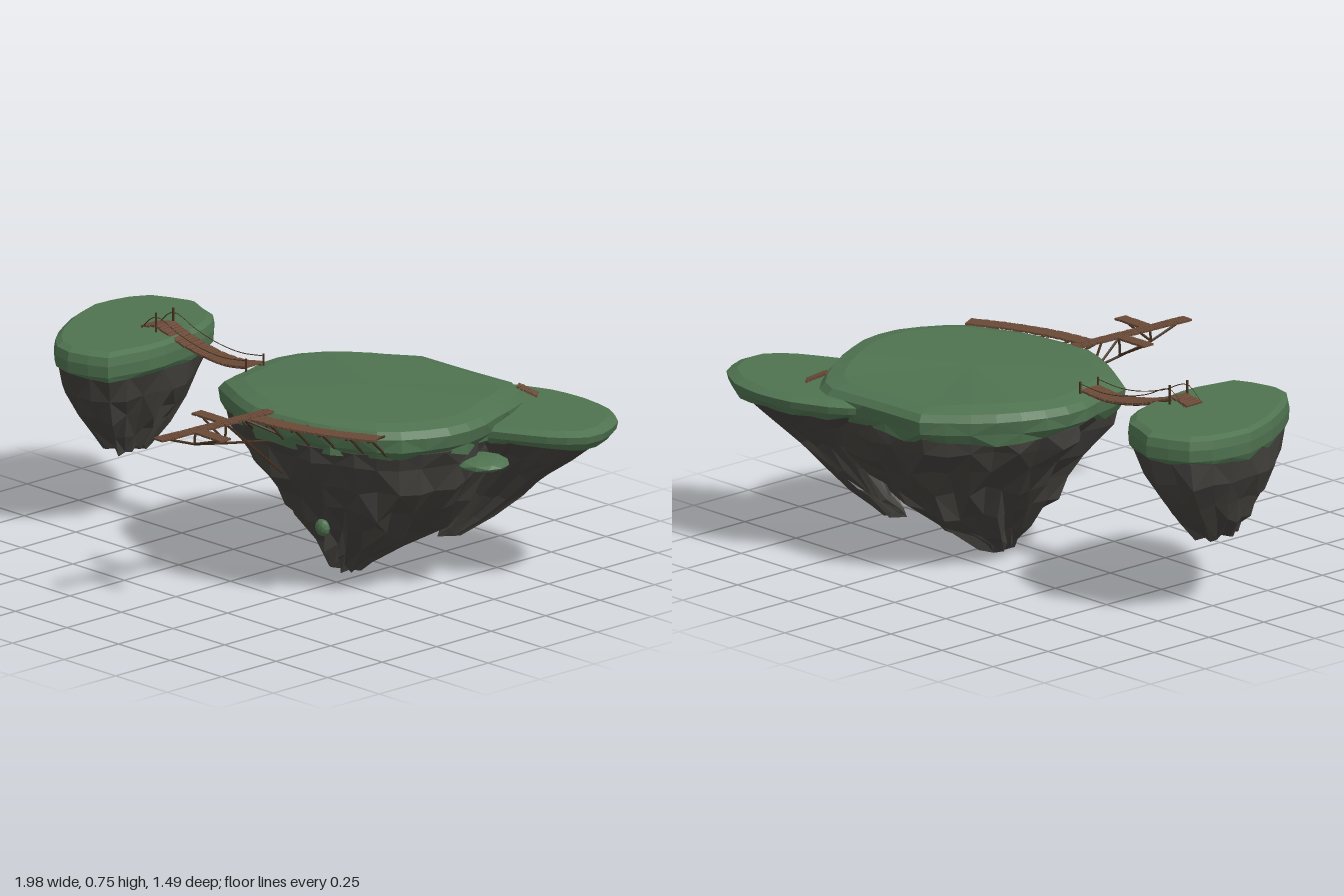
import * as THREE from 'three';
import { mergeGeometries } from 'three/addons/utils/BufferGeometryUtils.js';

const mat = (name, color, extra = {}) => {
  const m = new THREE.MeshStandardMaterial({ color, flatShading: true, ...extra });
  m.name = name;
  return m;
};
const V = (x, y, z) => new THREE.Vector3(x, y, z);

export function createModel() {
  const model = new THREE.Group();
  const grass = mat('grass green', 0x4f7350);
  const rock = mat('dark rock', 0x43413d);
  const wood = mat('plank brown', 0x6b4a38);
  const timber = mat('dark timber', 0x45301f);

  let seed = 7;
  const rnd = () => ((seed = (seed * 16807) % 2147483647) / 2147483647) * 2 - 1;

  const add = (name, geometry, material, parent = model) => {
    const mesh = new THREE.Mesh(geometry, material);
    mesh.name = name;
    parent.add(mesh);
    return mesh;
  };

  // Skin over a stack of closed rings, listed from top to bottom
  function loft(rings) {
    const pos = [];
    const tri = (a, b, c) => {
      if (a.equals(b) || b.equals(c) || a.equals(c)) return;
      pos.push(...a.toArray(), ...b.toArray(), ...c.toArray());
    };
    for (let r = 0; r < rings.length - 1; r++) {
      const T = rings[r], B = rings[r + 1], n = T.length;
      for (let i = 0; i < n; i++) {
        const j = (i + 1) % n;
        if ((i + r) % 2) { tri(T[i], T[j], B[i]); tri(T[j], B[j], B[i]); }
        else { tri(T[i], T[j], B[j]); tri(T[i], B[j], B[i]); }
      }
    }
    const g = new THREE.BufferGeometry();
    g.setAttribute('position', new THREE.Float32BufferAttribute(pos, 3));
    g.computeVertexNormals();
    return g;
  }

  // Spread n points evenly along a closed outline
  function resample(outline, n) {
    const pts = outline.map(([x, z]) => new THREE.Vector2(x, z));
    pts.push(pts[0].clone());
    const path = new THREE.Path(pts);
    return path.getSpacedPoints(n).slice(0, n);
  }

  // Floating island: ring rows are [scale, y, centreX, centreZ, roughness]
  function island(name, outline, n, centre, grassRows, rockRows, slope = () => 0) {
    const group = new THREE.Group();
    group.name = name;
    model.add(group);
    const base = resample(outline, n);
    const build = rows => rows.map(([s, y, cx = centre[0], cz = centre[1], rough = 0]) =>
      base.map(p => {
        const k = s * (1 + (s ? rough * rnd() : 0));
        const x = cx + (p.x - centre[0]) * k, z = cz + (p.y - centre[1]) * k;
        return V(x, y + slope(x, z) + (s ? rough * 0.16 * rnd() : 0), z);
      }));
    add(name + 'Grass', loft(build(grassRows)), grass, group);
    add(name + 'Rock', loft(build(rockRows)), rock, group);
  }

  // Main island
  const mainOutline = [[0.03, -0.61], [0.25, -0.615], [0.5, -0.63], [0.58, -0.55], [0.66, -0.42],
    [0.76, -0.18], [0.75, -0.02], [0.65, 0.15], [0.42, 0.25], [0.15, 0.28], [0, 0.23], [-0.2, 0.12],
    [-0.24, -0.05], [-0.28, -0.16], [-0.26, -0.28], [-0.2, -0.4], [-0.1, -0.5]];
  const step = t => THREE.MathUtils.smoothstep(t, 0, 1);
  island('mainIsland', mainOutline, 36, [0.24, -0.17],
    [[0, 0.652], [0.84, 0.65], [0.96, 0.638], [1, 0.615], [0.985, 0.57, 0.24, -0.17, 0.015],
      [0.93, 0.535, 0.24, -0.17, 0.06], [0.8, 0.53]],
    [[0.8, 0.56], [0.94, 0.55, 0.24, -0.17, 0.02], [0.9, 0.49, 0.24, -0.17, 0.05],
      [0.81, 0.4, 0.25, -0.17, 0.07], [0.66, 0.3, 0.25, -0.17, 0.11], [0.5, 0.2, 0.23, -0.18, 0.14],
      [0.29, 0.11, 0.21, -0.14, 0.16], [0.13, 0.035, 0.185, -0.11, 0.15], [0, 0, 0.18, -0.13]],
    (x, z) => -0.025 * step((-z - 0.3) / 0.3) - 0.012 * step(-x / 0.25));

  // Lower island joined behind the main one
  island('backIsland', [[0.4, -0.68], [0.55, -0.74], [0.7, -0.75], [0.83, -0.72], [0.93, -0.65],
    [0.99, -0.55], [0.99, -0.46], [0.93, -0.38], [0.82, -0.32], [0.7, -0.26], [0.5, -0.3],
    [0.36, -0.45], [0.3, -0.61]], 26, [0.68, -0.48],
  [[0, 0.592], [0.88, 0.59], [1, 0.575], [0.98, 0.55], [0.9, 0.525, 0.68, -0.48, 0.04], [0.7, 0.52]],
  [[0.7, 0.55], [0.9, 0.535], [0.68, 0.465, 0.66, -0.47, 0.08], [0.47, 0.385, 0.62, -0.45, 0.12],
    [0.32, 0.3, 0.55, -0.43, 0.15], [0.23, 0.21, 0.48, -0.4, 0.15],
    [0.12, 0.14, 0.42, -0.36, 0.15], [0, 0.12, 0.39, -0.33]]);

  // Separate small island
  island('sideIsland', [[-0.79, -0.34], [-0.7, -0.3], [-0.63, -0.28], [-0.56, -0.2], [-0.52, -0.06],
    [-0.49, 0.12], [-0.53, 0.33], [-0.7, 0.37], [-0.78, 0.33], [-0.87, 0.22], [-0.95, 0.08],
    [-1, -0.07], [-0.98, -0.2], [-0.93, -0.29]], 24, [-0.75, 0],
  [[0, 0.684], [0.9, 0.682], [0.98, 0.67], [1, 0.64], [0.99, 0.6], [0.92, 0.58, -0.75, 0, 0.05], [0.75, 0.575]],
  [[0.75, 0.61], [0.95, 0.59], [0.86, 0.5, -0.76, 0, 0.06], [0.68, 0.41, -0.76, 0, 0.1],
    [0.5, 0.34, -0.76, 0.01, 0.13], [0.3, 0.265, -0.75, 0.02, 0.13], [0, 0.245, -0.75, 0.02]]);

  // Grassy ledges on the cliffs
  for (const [x, y, z, sx, sy, sz] of [[0.71, 0.475, -0.23, 0.1, 0.024, 0.09], [0.24, 0.2, 0.055, 0.03, 0.03, 0.02]]) {
    const ledge = add('grassLedge', new THREE.IcosahedronGeometry(1, 1), grass);
    ledge.position.set(x, y, z);
    ledge.scale.set(sx, sy, sz);
  }

  // Deck of separate boards laid across a path
  function planks(name, pts, width, spacing = 0.0125) {
    const curve = new THREE.CatmullRomCurve3(pts.map(p => V(...p)));
    const n = Math.max(2, Math.round(curve.getLength() / spacing));
    const o = new THREE.Object3D(), parts = [];
    for (let i = 0; i < n; i++) {
      const u = (i + 0.5) / n, p = curve.getPointAt(u);
      o.position.copy(p);
      o.lookAt(p.clone().add(curve.getTangentAt(u)));
      o.rotateY(rnd() * 0.06);
      o.updateMatrix();
      const g = new THREE.BoxGeometry(width * (1 + rnd() * 0.07), 0.007, spacing * 0.88);
      parts.push(g.applyMatrix4(o.matrix));
    }
    add(name, mergeGeometries(parts), wood);
  }

  // Straight timbers, each given as [start, end]
  function beams(name, list, r) {
    add(name, mergeGeometries(list.map(([a, b]) => {
      const A = V(...a), B = V(...b), d = B.clone().sub(A);
      const g = new THREE.CylinderGeometry(r, r, d.length(), 5);
      g.applyQuaternion(new THREE.Quaternion().setFromUnitVectors(V(0, 1, 0), d.normalize()));
      const m = A.add(B).multiplyScalar(0.5);
      return g.translate(m.x, m.y, m.z);
    })), timber);
  }

  const rope = (name, pts, r) => add(name,
    new THREE.TubeGeometry(new THREE.CatmullRomCurve3(pts.map(p => V(...p))), 20, r, 4), timber);

  // Hanging bridge with landing, posts and ropes
  const span = [[-0.605, 0.703, -0.02], [-0.5, 0.665, -0.029], [-0.4, 0.643, -0.036], [-0.3, 0.634, -0.043], [-0.2, 0.645, -0.05]];
  planks('bridgeDeck', span, 0.085);
  planks('bridgeLanding', [[-0.675, 0.688, -0.012], [-0.6, 0.704, -0.017]], 0.07);
  for (const s of [-1, 1]) {
    const w = s * 0.04;
    beams('bridgePost', [[[-0.605, 0.66, -0.02 + w], [-0.605, 0.75, -0.02 + w]],
      [[-0.2, 0.6, -0.05 + w], [-0.2, 0.675, -0.05 + w]]], 0.004);
    rope('bridgeStringer', span.map(([x, y, z]) => [x, y - 0.006, z + w * 0.8]), 0.003);
    rope('bridgeHandRope', [[-0.67, 0.685, -0.015 + w], [-0.605, 0.735, -0.02 + w], [-0.5, 0.695, -0.029 + w],
      [-0.4, 0.668, -0.036 + w], [-0.3, 0.658, -0.043 + w], [-0.2, 0.668, -0.05 + w]], 0.0016);
  }

  // Pier with two side arms
  const Y = 0.637;
  planks('pierDeck', [[0.19, Y, 0.24], [0.178, Y, 0.49], [0.165, Y, 0.74]], 0.046);
  planks('pierArm', [[0.165, Y, 0.435], [0.03, Y, 0.435]], 0.046);
  planks('pierArm', [[0.19, Y, 0.575], [0.325, Y, 0.58]], 0.046);
  beams('pierBraces', [
    [[0.167, 0.628, 0.69], [0.174, 0.59, 0.58]], [[0.174, 0.59, 0.58], [0.18, 0.565, 0.44]],
    [[0.18, 0.565, 0.44], [0.187, 0.53, 0.23]], [[0.174, 0.634, 0.575], [0.174, 0.588, 0.58]],
    [[0.18, 0.634, 0.44], [0.18, 0.565, 0.445]], [[0.18, 0.63, 0.44], [0.19, 0.4, 0.18]],
    [[0.05, 0.632, 0.435], [0.18, 0.568, 0.44]], [[0.305, 0.632, 0.58], [0.174, 0.59, 0.58]],
    [[0.18, 0.63, 0.36], [0.11, 0.55, 0.24]], [[0.19, 0.63, 0.36], [0.27, 0.55, 0.22]],
  ], 0.0045);

  // Curved boardwalk along the cliff, on props
  const walk = [[0.2, Y - 0.005, 0.325], [0.35, Y - 0.005, 0.305], [0.5, Y - 0.005, 0.26], [0.65, Y - 0.005, 0.19]];
  planks('boardwalkDeck', walk, 0.062);
  beams('boardwalkProps', [[0.28, 0.325], [0.38, 0.305], [0.48, 0.275], [0.57, 0.235], [0.64, 0.2]].flatMap(([x, z]) => [
    [[x, 0.63, z + 0.01], [x - 0.02, 0.54, z - 0.09]], [[x, 0.626, z + 0.025], [x - 0.01, 0.626, z - 0.06]]]), 0.0045);

  // Short steps down to the back island
  planks('backSteps', [[0.545, 0.637, -0.55], [0.6, 0.605, -0.595]], 0.045);
  return model;
}
